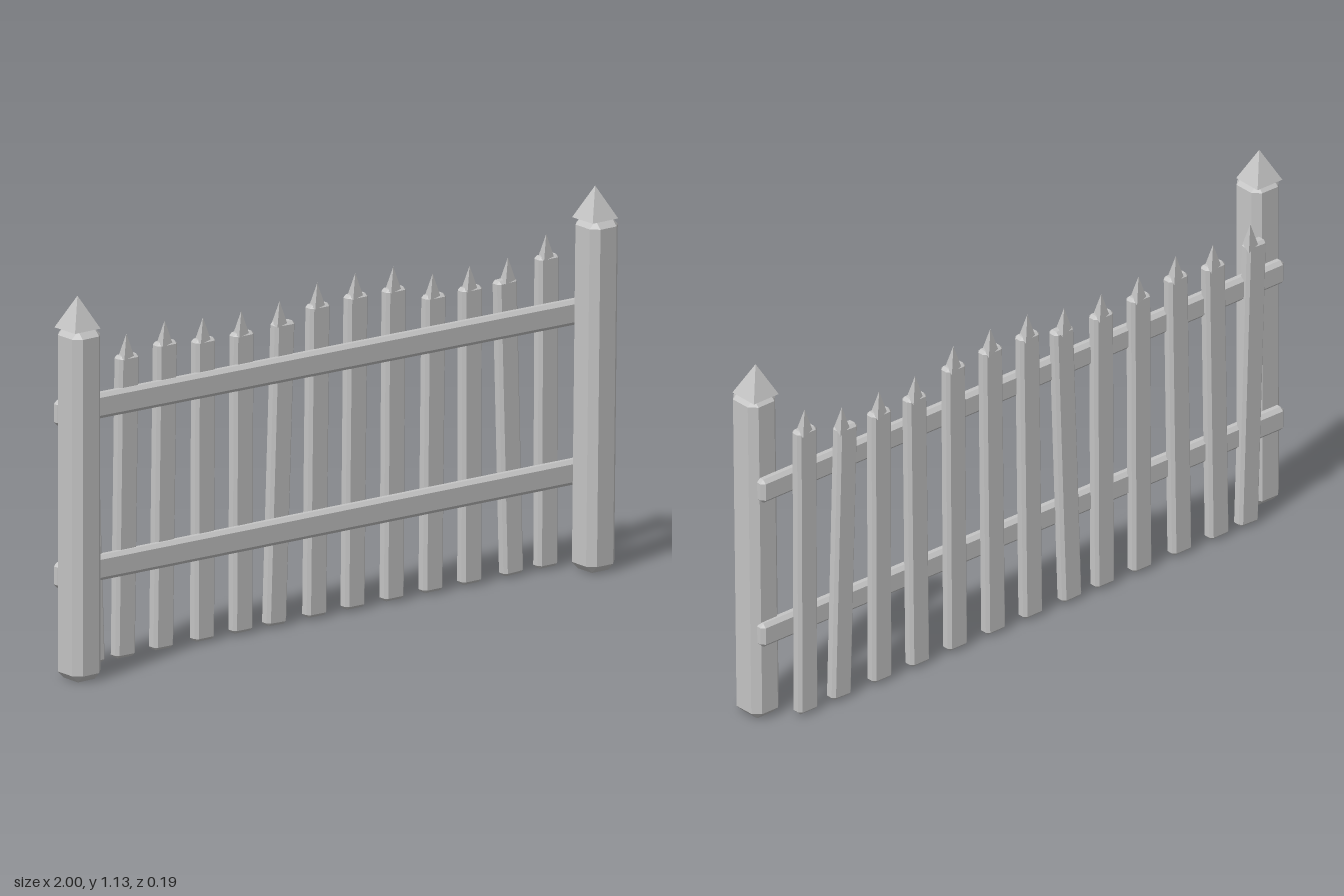
import * as THREE from 'three';
import { ConvexGeometry } from 'three/addons/geometries/ConvexGeometry.js';

const wood = new THREE.MeshStandardMaterial({ color: 0xc4c4c4 });
wood.name = 'paleGrey';

// box with every edge bevelled
function bevelledBox(w, h, d, c) {
  const pts = [];
  for (const sx of [-1, 1]) for (const sy of [-1, 1]) for (const sz of [-1, 1]) {
    const x = w / 2, y = h / 2, z = d / 2;
    pts.push(
      new THREE.Vector3(sx * x, sy * (y - c), sz * (z - c)),
      new THREE.Vector3(sx * (x - c), sy * y, sz * (z - c)),
      new THREE.Vector3(sx * (x - c), sy * (y - c), sz * z));
  }
  return new ConvexGeometry(pts);
}

// bevelled plank running from point a to point b
function plank(name, a, b, w, d, bevel) {
  const from = new THREE.Vector3(...a), to = new THREE.Vector3(...b);
  const dir = to.clone().sub(from);
  const mesh = new THREE.Mesh(bevelledBox(w, dir.length(), d, bevel), wood);
  mesh.name = name;
  mesh.position.copy(from).add(to).multiplyScalar(0.5);
  mesh.quaternion.setFromUnitVectors(new THREE.Vector3(0, 1, 0), dir.normalize());
  return mesh;
}

// four-sided point with a diamond base, standing on y = base
function pointedCap(name, x, base, z, height, long, short) {
  const geo = new THREE.ConeGeometry(1, height, 4).toNonIndexed();
  geo.scale(long, 1, short);
  geo.rotateY(Math.PI / 4);
  geo.computeVertexNormals();
  const mesh = new THREE.Mesh(geo, wood);
  mesh.name = name;
  mesh.position.set(x, base + height / 2, z);
  return mesh;
}

export function createModel() {
  const fence = new THREE.Group();
  fence.name = 'picketFence';

  // end posts, leaning slightly forward
  for (const [side, xBottom, xTop] of [['right', -0.934, -0.945], ['left', 0.945, 0.948]]) {
    fence.add(plank(side + 'Post', [xBottom, 0, 0.03], [xTop, 1.04, 0.043], 0.103, 0.108, 0.022));
    fence.add(pointedCap(side + 'PostCap', xTop, 1.035, 0.036, 0.095, 0.066, 0.066));
  }

  // horizontal rails behind the posts
  fence.add(plank('upperRail', [-0.96, 0.768, -0.045], [0.985, 0.752, -0.021], 0.075, 0.036, 0.011));
  fence.add(plank('lowerRail', [-0.96, 0.29, -0.045], [0.985, 0.282, -0.021], 0.075, 0.036, 0.011));

  // pickets: x at bottom, x at top, top height, x of cap
  const pickets = [
    [-0.81, -0.845, 0.91, -0.83], [-0.70, -0.69, 0.895, -0.69], [-0.56, -0.55, 0.91, -0.55],
    [-0.41, -0.41, 0.895, -0.41], [-0.27, -0.27, 0.89, -0.27], [-0.147, -0.12, 0.895, -0.13],
    [0, 0.008, 0.925, 0.008], [0.14, 0.147, 0.93, 0.147], [0.283, 0.286, 0.925, 0.286],
    [0.425, 0.432, 0.88, 0.43], [0.567, 0.565, 0.88, 0.565], [0.72, 0.692, 0.88, 0.705],
    [0.845, 0.845, 0.925, 0.845],
  ];
  pickets.forEach(([xBottom, xTop, top, xCap], i) => {
    fence.add(plank('picket' + (i + 1), [xBottom, 0.005, -0.062], [xTop, top, -0.057], 0.072, 0.038, 0.009));
    fence.add(pointedCap('picketCap' + (i + 1), xCap, top - 0.005, -0.058, 0.065, 0.055, 0.022));
  });

  return fence;
}
